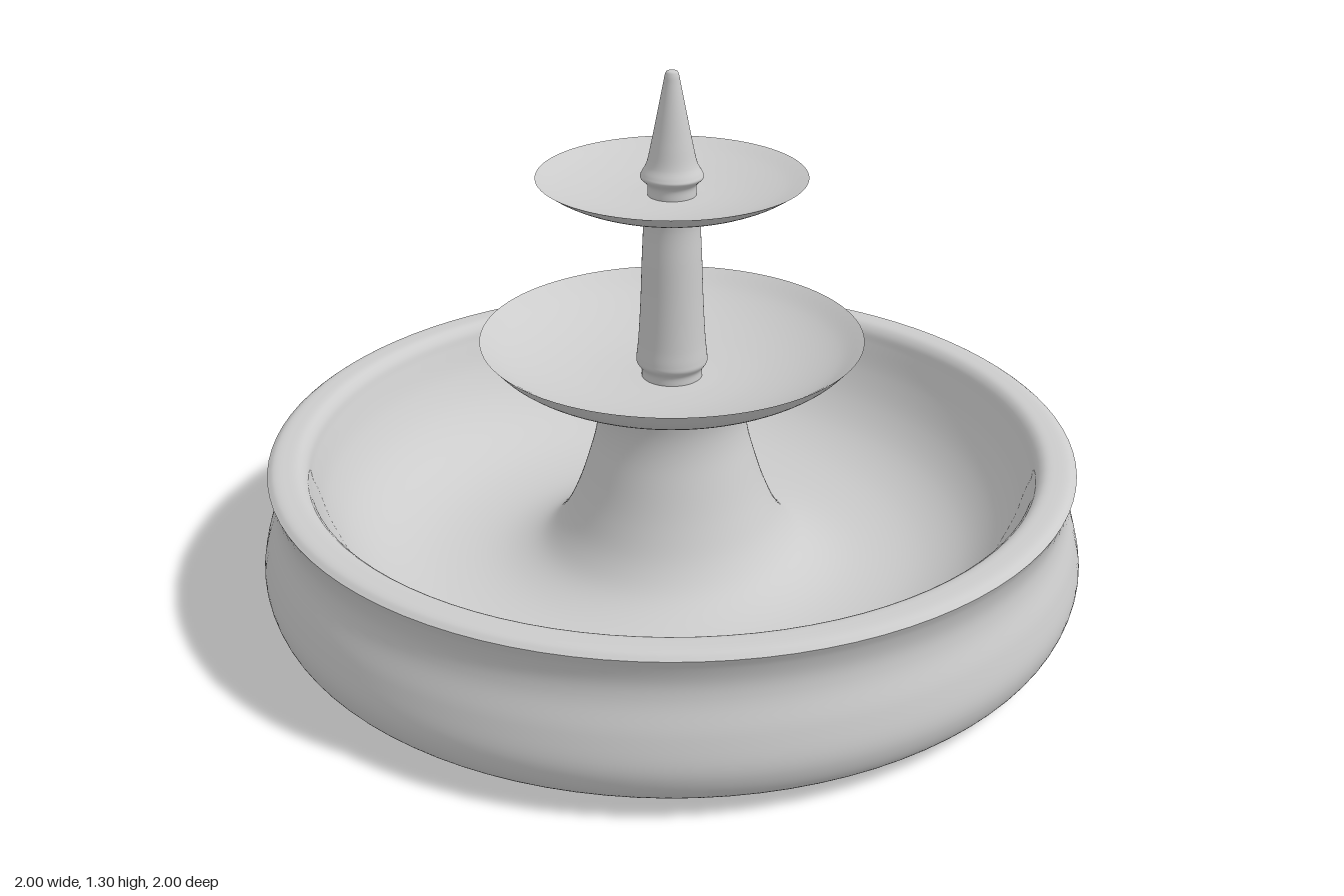
import * as THREE from 'three';

const material = new THREE.MeshStandardMaterial({ color: 0xcccccc, side: THREE.DoubleSide });

// Smooth surface of revolution through [radius, height] points, listed from outside bottom upward
function turned(name, profile, steps = 6) {
  const curve = new THREE.CatmullRomCurve3(
    profile.map(([r, y]) => new THREE.Vector3(r, y, 0)), false, 'centripetal');
  const points = curve.getPoints((profile.length - 1) * steps)
    .map((p) => new THREE.Vector2(Math.max(p.x, 0), p.y));
  const mesh = new THREE.Mesh(new THREE.LatheGeometry(points, 96), material);
  mesh.name = name;
  return mesh;
}

export function createModel() {
  const fountain = new THREE.Group();
  fountain.name = 'fountain';

  // Basin: flat bottom, bulging wall, waisted below the lip
  fountain.add(turned('basinWall', [
    [0, 0], [0.4, 0.001], [0.8, 0.004], [0.88, 0.012], [0.94, 0.028], [0.98, 0.06],
    [0.999, 0.12], [0.985, 0.2], [0.961, 0.27], [0.956, 0.31], [0.963, 0.35], [0.973, 0.375],
  ]));

  // Lip and rounded interior, sweeping up into the pedestal
  fountain.add(turned('basinInterior', [
    [0.973, 0.375], [0.958, 0.385], [0.93, 0.388], [0.9, 0.385], [0.882, 0.37],
    [0.87, 0.34], [0.84, 0.268], [0.79, 0.192], [0.72, 0.13], [0.62, 0.086],
    [0.5, 0.07], [0.4, 0.08], [0.325, 0.112], [0.275, 0.165], [0.235, 0.245],
    [0.203, 0.34], [0.185, 0.41], [0.181, 0.46], [0.188, 0.515],
  ]));

  // Lower dish: underside and concave inside
  fountain.add(turned('lowerDishUnderside', [
    [0.188, 0.515], [0.215, 0.53], [0.29, 0.549], [0.36, 0.576], [0.42, 0.613], [0.459, 0.654],
  ]));
  fountain.add(turned('lowerDishInside', [
    [0.459, 0.654], [0.4, 0.615], [0.32, 0.583], [0.22, 0.56], [0.13, 0.551], [0.073, 0.55],
  ]));

  // Column with a rounded foot collar
  fountain.add(turned('column', [
    [0.073, 0.55], [0.074, 0.57], [0.085, 0.588], [0.085, 0.602], [0.081, 0.64],
    [0.075, 0.74], [0.071, 0.85], [0.068, 0.93], [0.071, 0.965],
  ]));

  // Upper dish
  fountain.add(turned('upperDishUnderside', [
    [0.071, 0.965], [0.1, 0.977], [0.17, 0.988], [0.23, 1.006], [0.28, 1.029], [0.316, 1.053],
  ]));
  fountain.add(turned('upperDishInside', [
    [0.316, 1.053], [0.26, 1.034], [0.18, 1.017], [0.11, 1.009], [0.057, 1.007],
  ]));

  // Spire with a flared collar and a blunt tip
  fountain.add(turned('spire', [
    [0.057, 1.007], [0.058, 1.032], [0.074, 1.051], [0.071, 1.06], [0.06, 1.08],
    [0.048, 1.13], [0.034, 1.2], [0.02, 1.27], [0.016, 1.29], [0.012, 1.298], [0, 1.3],
  ]));

  return fountain;
}
